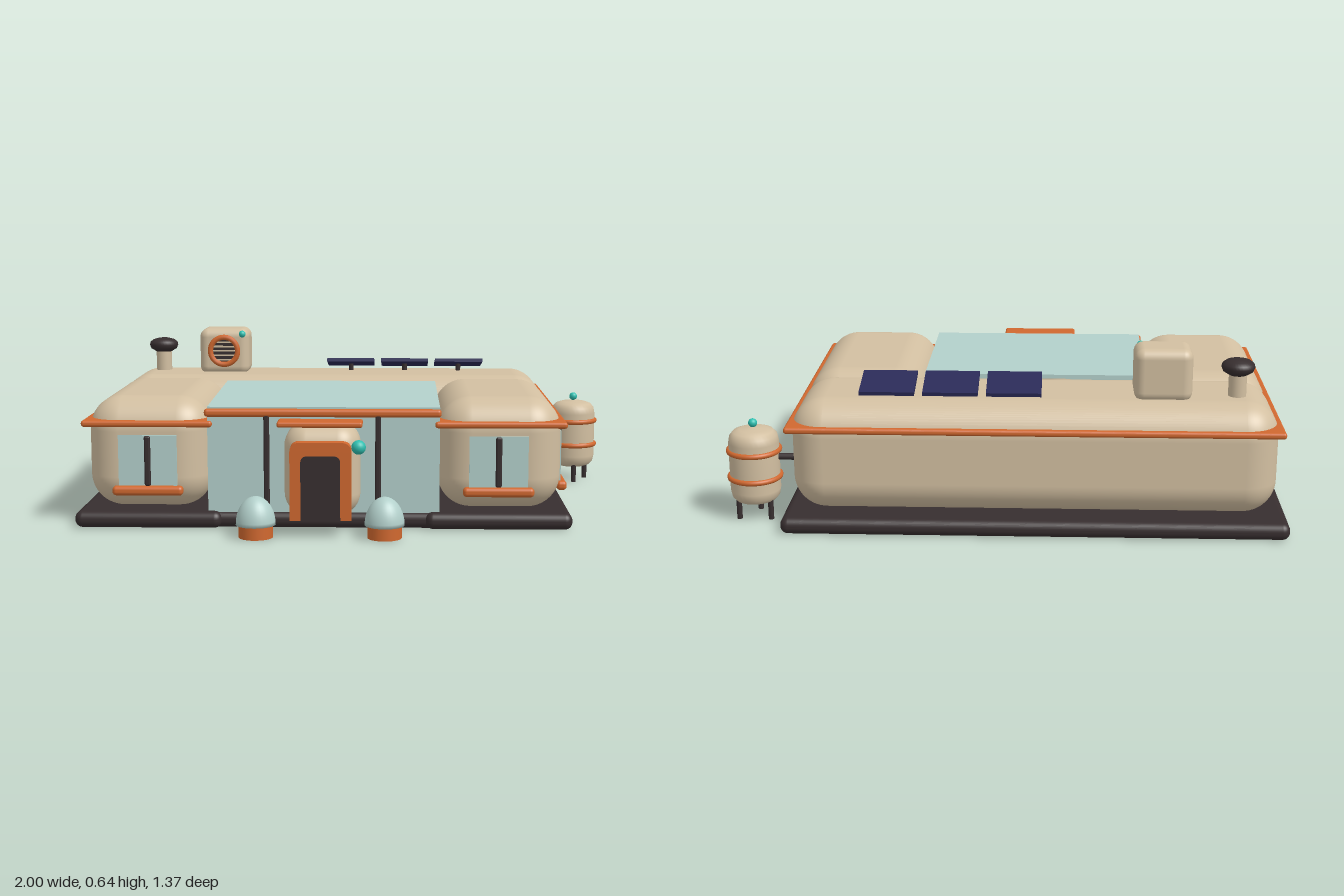
import * as THREE from 'three';
import { RoundedBoxGeometry } from 'three/addons/geometries/RoundedBoxGeometry.js';

const mat = (name, color) => {
  const m = new THREE.MeshStandardMaterial({ color });
  m.name = name;
  return m;
};

export function createModel() {
  const root = new THREE.Group();
  root.name = 'habitat';
  const shell = mat('sand shell', 0xd2bfa1);
  const orange = mat('orange trim', 0xd0682f);
  const dark = mat('dark metal', 0x372e2f);
  const glass = mat('pale glass', 0xb3d0cb);
  const navy = mat('solar navy', 0x2b2b58);
  const teal = mat('teal light', 0x2fbfb0);

  const add = (name, geo, m, x, y, z, parent = root) => {
    const mesh = new THREE.Mesh(geo, m);
    mesh.name = name;
    mesh.position.set(x, y, z);
    parent.add(mesh);
    return mesh;
  };
  // Boxes given by their extents; r > 0 rounds the edges
  const block = (name, m, [x0, x1], [y0, y1], [z0, z1], r = 0, parent = root) => {
    const s = [x1 - x0, y1 - y0, z1 - z0];
    const geo = r ? new RoundedBoxGeometry(...s, r > 0.05 ? 8 : 4, r) : new THREE.BoxGeometry(...s);
    return add(name, geo, m, (x0 + x1) / 2, (y0 + y1) / 2, (z0 + z1) / 2, parent);
  };
  const ball = (name, r, m, x, y, z, parent) =>
    add(name, new THREE.SphereGeometry(r, 20, 14), m, x, y, z, parent);
  const group = (name, x, y, z) => {
    const g = new THREE.Group();
    g.name = name;
    g.position.set(x, y, z);
    root.add(g);
    return g;
  };
  const lathe = (pts) => new THREE.LatheGeometry(pts.map((p) => new THREE.Vector2(...p)), 32);

  // Plinths
  block('backPlinth', dark, [-1, 0.785], [0, 0.06], [-0.685, -0.15], 0.028);
  block('rightPlinth', dark, [-1, -0.47], [0, 0.06], [-0.3, 0.5], 0.028);
  block('leftPlinth', dark, [0.26, 0.785], [0, 0.06], [-0.3, 0.5], 0.028);
  block('centrePlinth', dark, [-0.6, 0.4], [0, 0.058], [-0.3, 0.48], 0.026);

  // Rounded modules, each with a flat belt of trim
  const modules = [
    ['back', [-0.96, 0.75], [-0.645, -0.19]],
    ['right', [-0.96, -0.515], [-0.27, 0.465]],
    ['left', [0.305, 0.75], [-0.27, 0.465]],
  ];
  for (const [side, xs, zs] of modules) {
    block(side + 'Module', shell, xs, [0.06, 0.465], zs, 0.12);
    block(side + 'Belt', orange, [xs[0] - 0.012, xs[1] + 0.012], [0.364, 0.387],
      [zs[0] - 0.01, zs[1] + 0.012], 0.01);
  }

  // Windows: pane, mullion and sill, facing local +z
  const addWindow = (x, z, turn) => {
    const g = group('window', x, 0, z);
    g.rotation.y = turn;
    block('pane', glass, [-0.105, 0.105], [0.152, 0.335], [-0.002, 0.006], 0, g);
    block('mullion', dark, [-0.011, 0.011], [0.152, 0.333], [0, 0.017], 0.007, g);
    block('sill', orange, [-0.127, 0.127], [0.118, 0.152], [-0.01, 0.028], 0.014, g);
  };
  addWindow(-0.735, 0.465, 0);
  addWindow(0.52, 0.465, 0);
  addWindow(0.75, 0.228, Math.PI / 2);
  addWindow(0.75, -0.057, Math.PI / 2);
  addWindow(-0.96, 0.065, -Math.PI / 2);

  // Glazed atrium
  block('atriumFront', glass, [-0.52, 0.31], [0.055, 0.425], [0.452, 0.464]);
  const roof = block('atriumRoof', glass, [-0.52, 0.31], [0.43, 0.445], [-0.19, 0.465]);
  roof.rotation.x = 0.022;
  block('atriumBeam', orange, [-0.53, 0.315], [0.403, 0.432], [0.455, 0.485], 0.012);
  for (const x of [-0.308, 0.09]) {
    block('atriumMullion', dark, [x - 0.01, x + 0.01], [0.055, 0.425], [0.46, 0.482], 0.006);
  }

  // Entrance porch
  block('porch', shell, [-0.24, 0.028], [0.062, 0.39], [0.36, 0.6], 0.08);
  const arch = (w, h, r) => {
    const s = new THREE.Shape();
    s.moveTo(-w, 0);
    s.lineTo(w, 0);
    s.lineTo(w, h - r);
    s.quadraticCurveTo(w, h, w - r, h);
    s.lineTo(-w + r, h);
    s.quadraticCurveTo(-w, h, -w, h - r);
    s.closePath();
    return s;
  };
  const extrude = (s, depth) =>
    new THREE.ExtrudeGeometry(s, { depth, bevelEnabled: false, curveSegments: 8 });
  add('doorFrame', extrude(arch(0.107, 0.275, 0.035), 0.045), orange, -0.108, 0.062, 0.588);
  add('door', extrude(arch(0.069, 0.228, 0.025), 0.006), dark, -0.108, 0.062, 0.632);
  block('awning', orange, [-0.257, 0.038], [0.392, 0.412], [0.565, 0.655], 0.008);
  ball('doorLight', 0.025, teal, 0.025, 0.324, 0.645);

  // Domed lamps beside the door
  for (const x of [-0.335, 0.115]) {
    const lamp = group('pathLamp', x, 0, 0.615);
    add('lampBase', new THREE.CylinderGeometry(0.06, 0.06, 0.05, 32), orange, 0, 0.025, 0, lamp);
    const dome = [[0, 0.045]];
    for (let i = 0; i <= 12; i++) {
      const a = (i / 12) * Math.PI / 2;
      dome.push([0.07 * Math.cos(a), 0.045 + 0.1 * Math.sin(a)]);
    }
    add('lampDome', lathe(dome), glass, 0, 0, 0, lamp);
  }

  // Roof ventilation unit
  const vent = group('ventUnit', -0.555, 0.553, -0.455);
  block('ventBody', shell, [-0.102, 0.102], [-0.1, 0.09], [-0.08, 0.08], 0.035, vent);
  const disc = add('ventDisc', new THREE.CylinderGeometry(0.057, 0.057, 0.008, 32), dark, 0, 0, 0.082, vent);
  disc.rotation.x = Math.PI / 2;
  add('ventRing', new THREE.TorusGeometry(0.056, 0.011, 10, 36), orange, 0, 0, 0.088, vent);
  for (let i = -2; i <= 2; i++) {
    const y = i * 0.018;
    const w = Math.sqrt(0.05 ** 2 - y ** 2);
    block('ventSlat', shell, [-w, w], [y - 0.003, y + 0.003], [0.084, 0.091], 0, vent);
  }
  ball('ventLight', 0.014, teal, 0.075, 0.069, 0.08, vent);

  // Chimney with mushroom cap
  const chimney = group('chimney', -0.818, 0, -0.465);
  add('chimneyPipe', new THREE.CylinderGeometry(0.032, 0.032, 0.11, 24), shell, 0, 0.505, 0, chimney);
  add('chimneyCap', lathe([[0, 0.54], [0.032, 0.542], [0.053, 0.555], [0.059, 0.57],
    [0.056, 0.582], [0.043, 0.592], [0.022, 0.598], [0, 0.6]]), dark, 0, 0, 0, chimney);

  // Tilted solar panels
  for (const x of [-0.033, 0.19, 0.413]) {
    const solar = group('solarPanel', x, 0.498, -0.465);
    const panel = block('panel', navy, [-0.097, 0.097], [-0.007, 0.007], [-0.08, 0.08], 0, solar);
    panel.rotation.x = -0.22;
    add('panelPost', new THREE.CylinderGeometry(0.01, 0.01, 0.05, 12), dark, 0, -0.025, 0, solar);
  }

  // Storage tank
  const tank = group('tank', 0.9, 0, -0.495);
  const half = [[0.05, 0.06], [0.072, 0.068], [0.085, 0.083], [0.09, 0.107]];
  const profile = [[0, 0.057], ...half, ...half.map(([r, y]) => [r, 0.392 - y]).reverse(), [0, 0.337]];
  add('tankBody', lathe(profile), shell, 0, 0, 0, tank);
  for (const y of [0.155, 0.254]) {
    const hoop = add('tankHoop', new THREE.TorusGeometry(0.09, 0.01, 10, 40), orange, 0, y, 0, tank);
    hoop.rotation.x = Math.PI / 2;
  }
  for (let i = 0; i < 3; i++) {
    const a = Math.PI / 2 + (i * 2 * Math.PI) / 3;
    add('tankLeg', new THREE.CylinderGeometry(0.01, 0.01, 0.09, 12), dark,
      0.066 * Math.cos(a), 0.045, 0.066 * Math.sin(a), tank);
  }
  ball('tankLight', 0.016, teal, 0, 0.353, 0, tank);
  const pipe = add('tankPipe', new THREE.CylinderGeometry(0.012, 0.012, 0.12, 14), dark, -0.12, 0.227, 0, tank);
  pipe.rotation.z = Math.PI / 2;

  return root;
}
